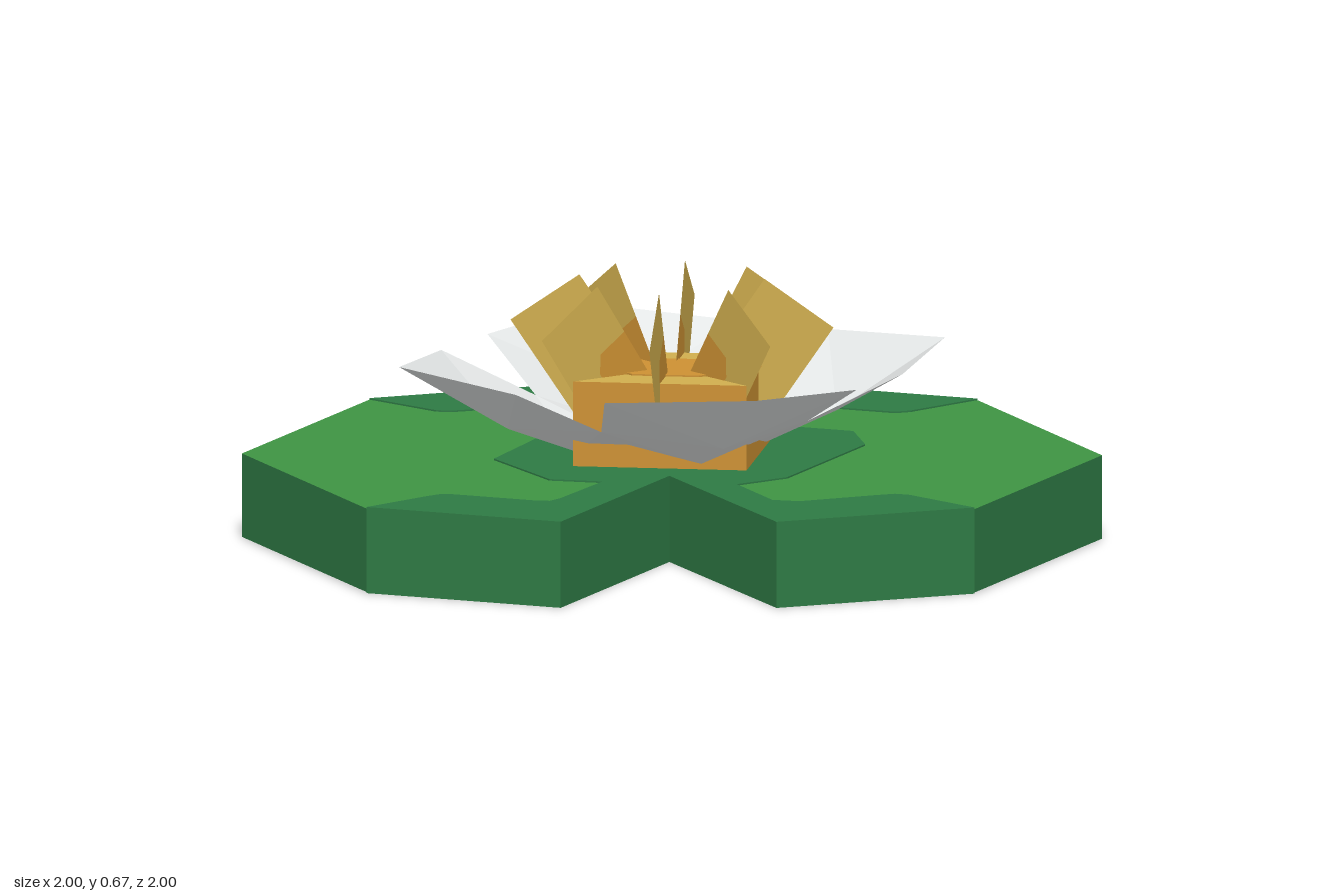
import * as THREE from 'three';

const mat = (name, color, extra = {}) => {
  const m = new THREE.MeshStandardMaterial({ color, ...extra });
  m.name = name;
  return m;
};

export function createModel() {
  const leafGreen = mat('leafGreen', 0x3f9443);
  const darkGreen = mat('darkGreen', 0x2e7a44);
  const white = mat('petalWhite', 0xe2e5e5, { side: THREE.DoubleSide, flatShading: true });
  const gold = mat('gold', 0xd0ae4e, { side: THREE.DoubleSide });
  const orange = mat('orange', 0xcd9133, { side: THREE.DoubleSide });

  const root = new THREE.Group();
  root.name = 'waterLily';
  const add = (parent, name, geometry, material) => {
    const mesh = new THREE.Mesh(geometry, material);
    mesh.name = name;
    parent.add(mesh);
    return mesh;
  };

  // Horizontal slab from an outline of [x, z] points
  const slab = (points, y, depth) => {
    const shape = new THREE.Shape(points.map(([x, z]) => new THREE.Vector2(x, -z)));
    return new THREE.ExtrudeGeometry(shape, { depth, bevelEnabled: false })
      .rotateX(-Math.PI / 2).translate(0, y, 0);
  };

  // Floating leaf: an octagon with a notch at the front
  const leaf = [[-0.41, 1], [0.12, 1], [0.12, 0.3], [0.62, 0.79], [1, 0.41], [1, -0.41],
    [0.41, -1], [-0.41, -1], [-1, -0.41], [-1, 0.41]];
  add(root, 'leaf', slab(leaf, 0.003, 0.213), [leafGreen, darkGreen]);

  // Dark markings on the leaf
  const notchLeft = [[-0.41, 1], [-0.33, 0.8], [-0.31, 0.76], [-0.28, 0.75], [-0.05, 0.75],
    [-0.02, 0.74], [-0.01, 0.7], [0, 0.3], [0.12, 0.3], [0.12, 1]];
  const notchRight = [[1, 0.41], [0.78, 0.31], [0.74, 0.31], [0.7, 0.35], [0.56, 0.5],
    [0.49, 0.51], [0.2, 0.22], [0.12, 0.3], [0.62, 0.79]];
  const backRim = [[-1, -0.41], [-0.78, -0.32], [-0.74, -0.33], [-0.34, -0.71], [-0.27, -0.75],
    [0.29, -0.75], [0.32, -0.78], [0.41, -1], [-0.41, -1]];
  const centre = [[-0.2, -0.46], [0.3, -0.46], [0.4, -0.3], [0.4, 0.2], [0.3, 0.38], [0.2, 0.375],
    [0.12, 0.3], [0.12, 0.42], [-0.14, 0.46], [-0.38, 0.25], [-0.4, -0.2]];
  [notchLeft, notchRight, backRim, centre].forEach((p) =>
    add(root, 'leafMarking', slab(p, 0.216, 0.004), darkGreen));
  [notchLeft, notchRight].forEach((p) =>
    add(root, 'undersideMarking', slab(p, 0, 0.003), darkGreen));

  // Petals: a folded panel pair over a shallow bowl, four times round
  const base = [0.16, 0.19, 0.235], mid = [0.28, 0.33, 0.305], tip = [0.46, 0.55, 0.477];
  const left = [0.07, 0.6, 0.452], right = [0.6, 0.07, 0.452];
  right[0] = 0.58; right[1] = 0.18;
  const gapL = [-0.03, 0.385, 0.335], gapR = [0.385, 0.03, 0.335];
  const footL = [-0.02, 0.225, 0.275], footR = [0.225, 0.02, 0.275];
  const triangles = [
    [mid, left, tip], [mid, gapL, left], [mid, tip, right], [mid, right, gapR],
    [base, gapL, mid], [base, footL, gapL], [base, mid, gapR], [base, gapR, footR],
  ];
  const petalGeo = new THREE.BufferGeometry();
  petalGeo.setAttribute('position', new THREE.Float32BufferAttribute(
    triangles.flat().flatMap(([x, z, y]) => [x, y, z]), 3));
  petalGeo.computeVertexNormals();
  for (let i = 0; i < 4; i++) {
    add(root, 'petal', petalGeo, white).rotation.y = i * Math.PI / 2;
  }

  // Flower heart: a turned block with a gold top and an orange middle
  const heart = new THREE.Group();
  heart.name = 'heart';
  heart.rotation.y = Math.PI / 12;
  root.add(heart);
  add(heart, 'heartBlock', new THREE.BoxGeometry(0.44, 0.216, 0.44).translate(0, 0.328, 0),
    [orange, orange, gold, orange, orange, orange]);
  const a = 0.115, b = 0.085;
  add(heart, 'heartMiddle', slab([[-a, b], [-b, a], [b, a], [a, b], [a, -b], [b, -a], [-b, -a], [-a, -b]],
    0.436, 0.004), orange);

  // Stamens: eight upright tilted plates fanning out of the heart
  const along = [-0.565, -0.825], across = [0.825, -0.565];
  const plate = (points) => new THREE.ShapeGeometry(new THREE.Shape(points.map(([w, t]) =>
    new THREE.Vector2(0.235 + across[0] * w + along[0] * t, 0.67 + across[1] * w + along[1] * t))));
  const goldPlate = plate([[0, 0], [0.212, 0], [0.212, 0.4], [0.12, 0.4], [0.12, 0.19], [0.09, 0.15], [0, 0.15]]);
  const orangePlate = plate([[0, 0.15], [0.09, 0.15], [0.12, 0.19], [0.12, 0.4], [0, 0.4]]);
  for (let i = 0; i < 8; i++) {
    const stamen = new THREE.Group();
    stamen.name = 'stamen';
    stamen.rotation.y = Math.PI / 12 + i * Math.PI / 4;
    add(stamen, 'stamenTip', goldPlate, gold);
    add(stamen, 'stamenBase', orangePlate, orange);
    root.add(stamen);
  }
  return root;
}
